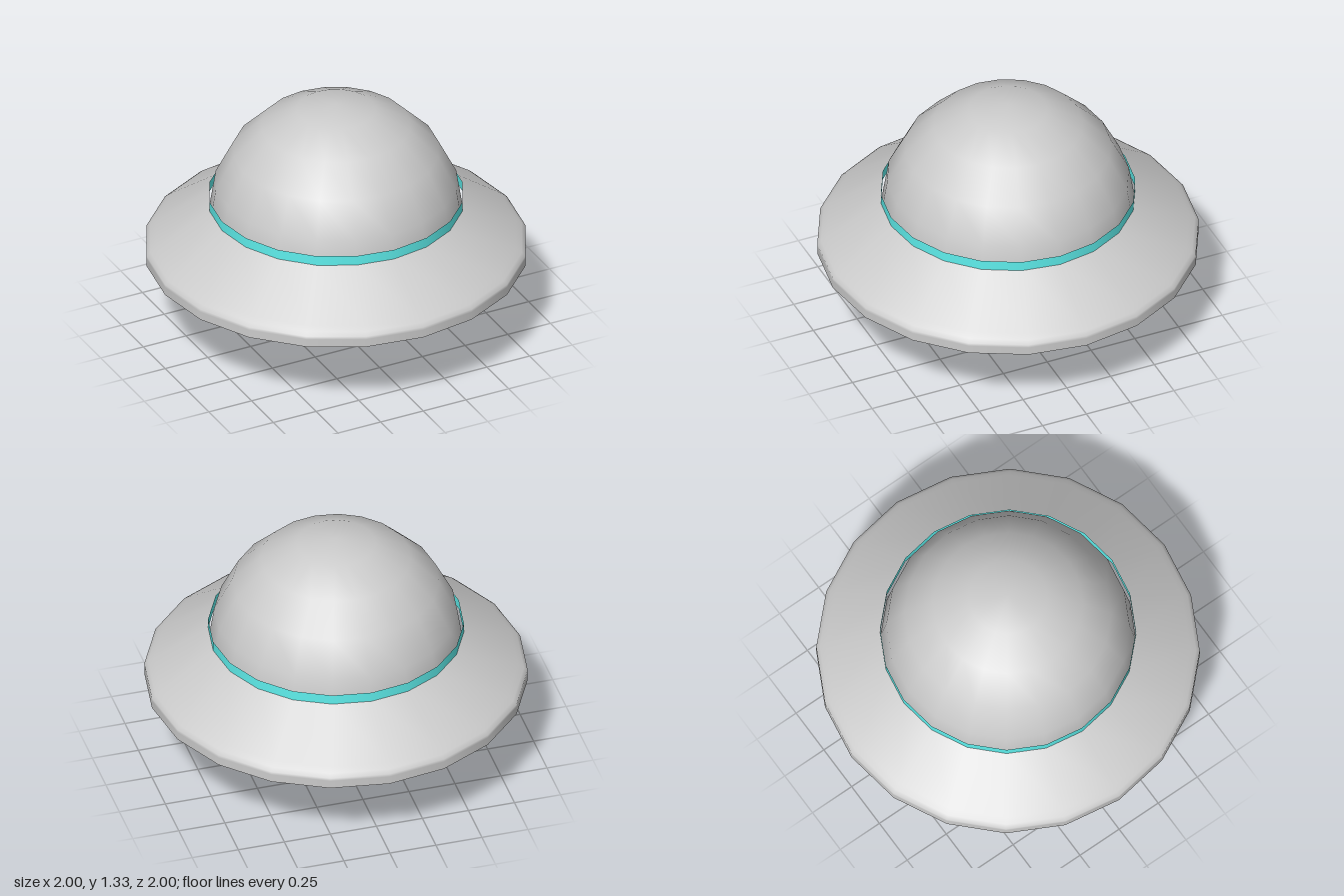
import * as THREE from 'three';

const SIDES = 20;
const RADIUS = 0.667;

// Open surface of revolution from [radius, height] pairs, listed bottom to top
function turned(name, profile, material) {
  const points = profile.map(([r, y]) => new THREE.Vector2(r, y));
  const mesh = new THREE.Mesh(new THREE.LatheGeometry(points, SIDES), material);
  mesh.name = name;
  return mesh;
}

export function createModel() {
  const group = new THREE.Group();
  group.name = 'ringedSphere';
  const grey = new THREE.MeshStandardMaterial({ color: 0xcccccc });
  const greyThin = new THREE.MeshStandardMaterial({ color: 0xcccccc, side: THREE.DoubleSide });
  const cyan = new THREE.MeshStandardMaterial({ color: 0x5ff0ee, side: THREE.DoubleSide });

  // Round body standing on the ground
  const body = new THREE.Mesh(new THREE.SphereGeometry(RADIUS, SIDES, 10), grey);
  body.name = 'body';
  body.position.y = RADIUS;
  group.add(body);

  // Thin hollow brim: upright rim, softened corner, sloping cone
  group.add(turned('brim', [
    [1, 0.445], [1, 0.49], [1, 0.507], [0.98, 0.524], [0.95, 0.546], [RADIUS, 0.745],
  ], greyThin));

  // Coloured band above the brim
  group.add(turned('band', [[RADIUS, 0.745], [RADIUS, 0.8]], cyan));

  return group;
}
